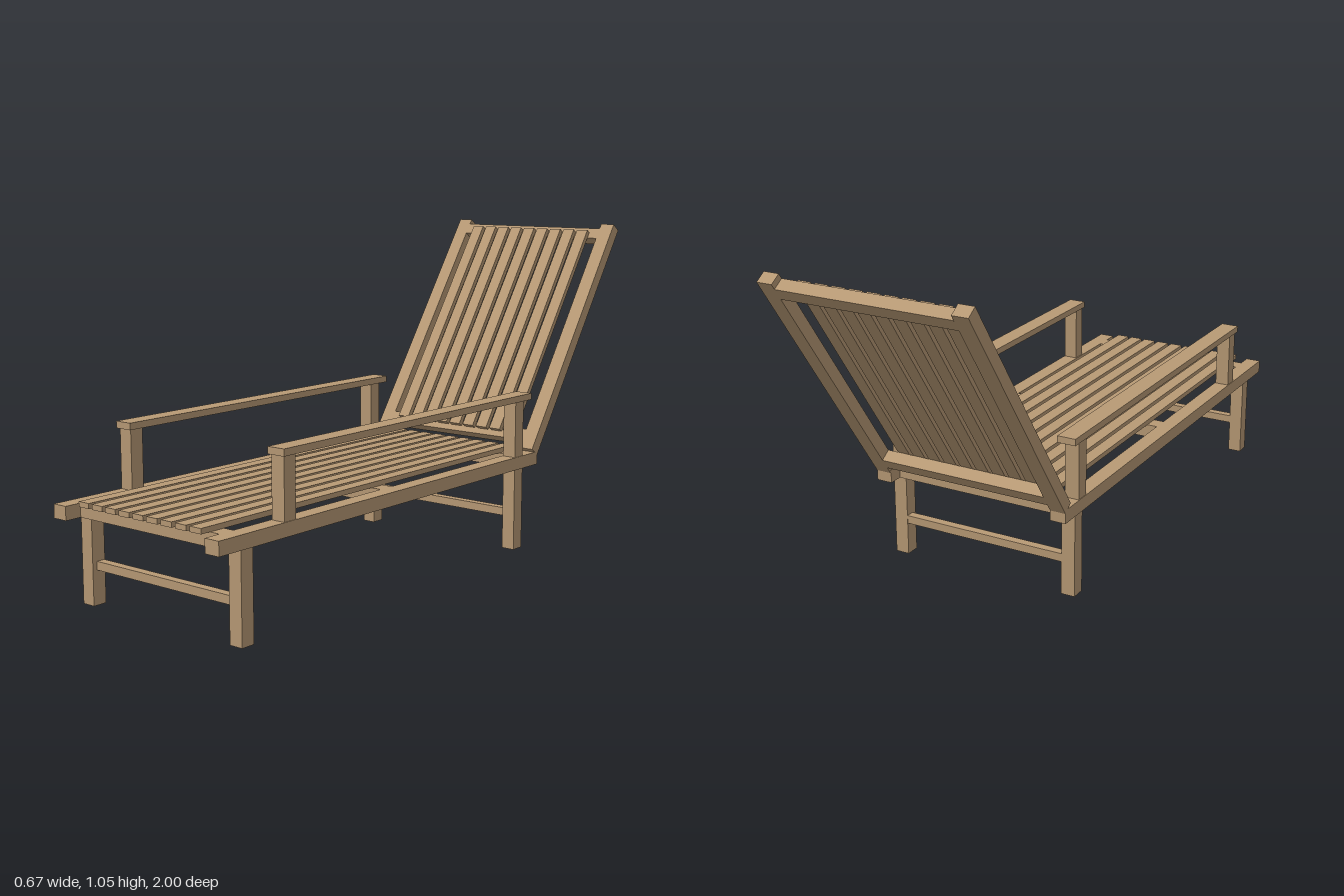
import * as THREE from 'three';

export function createModel() {
  const model = new THREE.Group();
  model.name = 'sunLounger';
  const wood = new THREE.MeshStandardMaterial({ color: 0xb89a75 });
  wood.name = 'teak wood';

  // Box given by its [min, max] range on each axis
  function beam(parent, name, [x0, x1], [y0, y1], [z0, z1]) {
    const mesh = new THREE.Mesh(new THREE.BoxGeometry(x1 - x0, y1 - y0, z1 - z0), wood);
    mesh.position.set((x0 + x1) / 2, (y0 + y1) / 2, (z0 + z1) / 2);
    mesh.name = name;
    parent.add(mesh);
  }
  // Same beam on the left (+x) and right (-x)
  function pair(parent, name, [x0, x1], y, z) {
    beam(parent, name + 'Left', [x0, x1], y, z);
    beam(parent, name + 'Right', [-x1, -x0], y, z);
  }
  // Nine parallel slats
  function slats(parent, name, y, z) {
    for (let i = -4; i <= 4; i++) {
      const x = i * 0.0555;
      beam(parent, name + (i + 5), [x - 0.021, x + 0.021], y, z);
    }
  }

  // Seat frame
  const seat = new THREE.Group();
  seat.name = 'seat';
  model.add(seat);
  pair(seat, 'sideRail', [0.277, 0.328], [0.271, 0.313], [-0.5, 1]);
  for (const [name, z] of [['front', 0.92], ['middle', 0.245], ['rear', -0.428]])
    beam(seat, name + 'CrossBar', [-0.277, 0.277], [0.271, 0.313], [z - 0.026, z + 0.026]);
  slats(seat, 'seatSlat', [0.313, 0.329], [-0.48, 0.98]);

  // Legs with a stretcher between each pair
  for (const [name, z, s] of [['front', 0.887, 0.88], ['rear', -0.403, -0.411]]) {
    pair(model, name + 'Leg', [0.274, 0.319], [0, 0.271], [z - 0.023, z + 0.023]);
    beam(model, name + 'Stretcher', [-0.274, 0.274], [0.105, 0.131], [s - 0.014, s + 0.014]);
  }

  // Armrests on posts
  for (const [name, z] of [['front', 0.724], ['rear', -0.393]])
    pair(model, name + 'ArmPost', [0.28, 0.326], [0.313, 0.496], [z - 0.023, z + 0.023]);
  pair(model, 'armrest', [0.274, 0.333], [0.496, 0.517], [-0.452, 0.755]);

  // Reclined backrest, built upright around its centre then tilted
  const back = new THREE.Group();
  back.name = 'backrest';
  pair(back, 'backRail', [0.278, 0.328], [-0.439, 0.439], [-0.0195, 0.0195]);
  beam(back, 'backTopBar', [-0.278, 0.278], [0.38, 0.42], [-0.02, 0.0195]);
  beam(back, 'backBottomBar', [-0.278, 0.278], [-0.41, -0.37], [-0.02, 0.0195]);
  slats(back, 'backSlat', [-0.39, 0.402], [0.0195, 0.036]);
  back.position.set(0, 0.676, -0.734);
  back.rotation.x = -0.603;
  model.add(back);

  return model;
}
